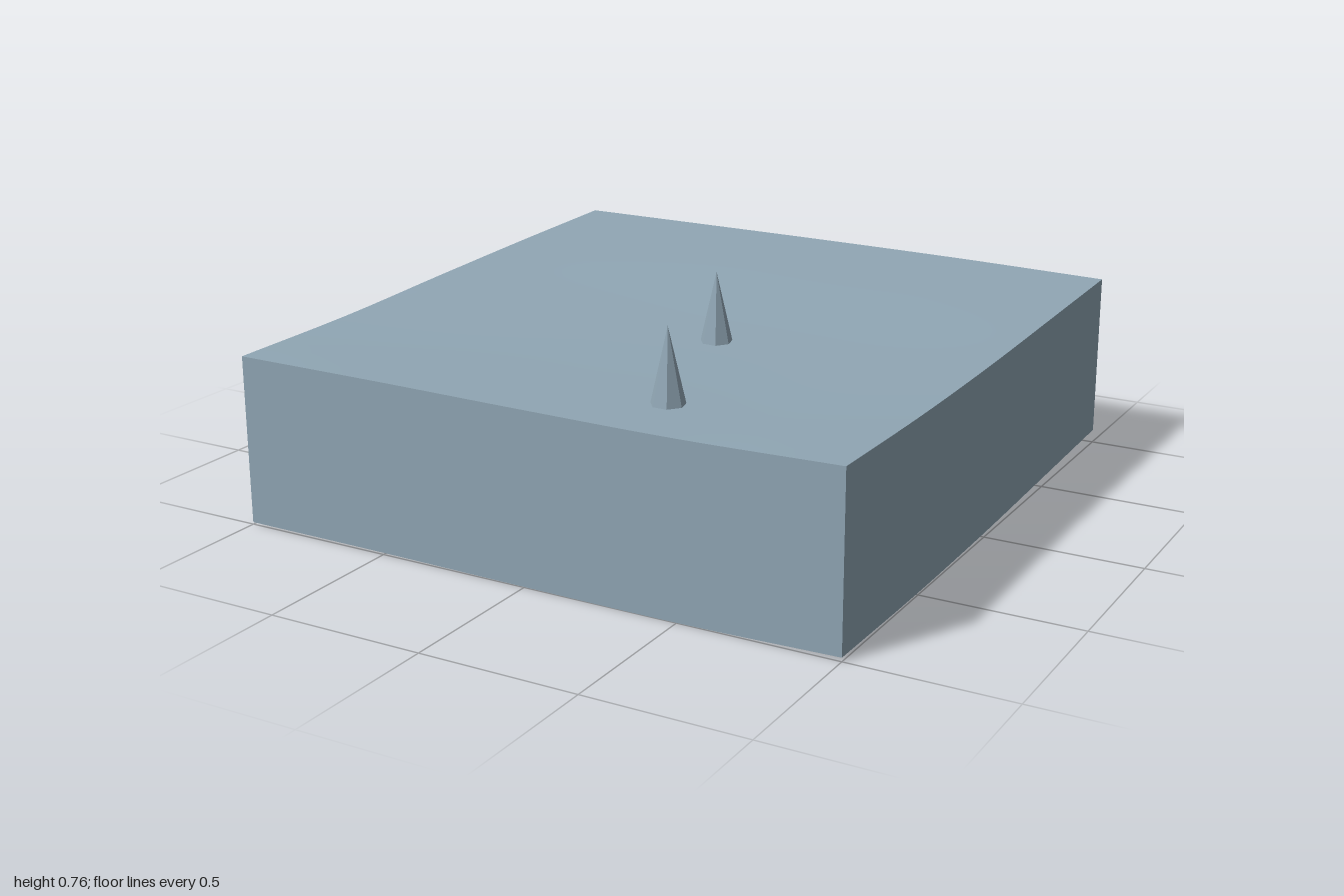
import * as THREE from 'three';

// Control heights: rows run back to front, columns run -x to +x
const HEIGHTS = [
  [0.592, 0.592, 0.591, 0.587, 0.578],
  [0.580, 0.578, 0.575, 0.568, 0.562],
  [0.564, 0.558, 0.550, 0.545, 0.547],
  [0.546, 0.543, 0.538, 0.535, 0.541],
  [0.541, 0.540, 0.536, 0.535, 0.546],
];
const DEPTH = 0.533;
const SEGMENTS = 32;

// Smooth curve through five evenly spaced values, t from -1 to 1
function smooth(values, t) {
  const u = (t + 1) * 2;
  const i = Math.min(3, Math.floor(u));
  const f = u - i;
  const at = (k) => k < 0 ? 2 * values[0] - values[1] : k > 4 ? 2 * values[4] - values[3] : values[k];
  const [a, b, c, d] = [at(i - 1), at(i), at(i + 1), at(i + 2)];
  return b + 0.5 * f * (c - a + f * (2 * a - 5 * b + 4 * c - d + f * (3 * (b - c) + d - a)));
}

const groundHeight = (x, z) => smooth(HEIGHTS.map((row) => smooth(row, x)), z);

export function createModel() {
  const model = new THREE.Group();
  const slate = new THREE.MeshStandardMaterial({ color: 0x90a6b4, side: THREE.DoubleSide });
  slate.name = 'slate blue';
  const facetedSlate = slate;

  const add = (geometry, name, material = slate) => {
    const mesh = new THREE.Mesh(geometry, material);
    mesh.name = name;
    model.add(mesh);
    return mesh;
  };

  // Gently rolling ground
  const ground = new THREE.PlaneGeometry(2, 2, SEGMENTS, SEGMENTS).rotateX(-Math.PI / 2);
  const p = ground.attributes.position;
  for (let i = 0; i < p.count; i++) p.setY(i, groundHeight(p.getX(i), p.getZ(i)));
  ground.computeVertexNormals();
  add(ground, 'ground');

  // Four skirt walls of constant depth, open underneath
  ['frontWall', 'leftWall', 'backWall', 'rightWall'].forEach((name, k) => {
    const wall = new THREE.PlaneGeometry(2, 1, SEGMENTS, 1).translate(0, 0, 1).rotateY(k * Math.PI / 2);
    const w = wall.attributes.position;
    for (let i = 0; i < w.count; i++) {
      const top = groundHeight(w.getX(i), w.getZ(i));
      w.setY(i, w.getY(i) > 0 ? top : top - DEPTH);
    }
    wall.computeVertexNormals();
    add(wall, name);
  });

  // Two seven-sided spikes with flat facets
  [[0.165, 0.165], [0.333, 0.752]].forEach(([x, z], i) => {
    const spike = new THREE.ConeGeometry(0.052, 0.228, 7).rotateY(Math.PI).toNonIndexed();
    spike.computeVertexNormals();
    add(spike, `spike${i + 1}`, facetedSlate).position.set(x, 0.534 + 0.114, z);
  });

  return model;
}
